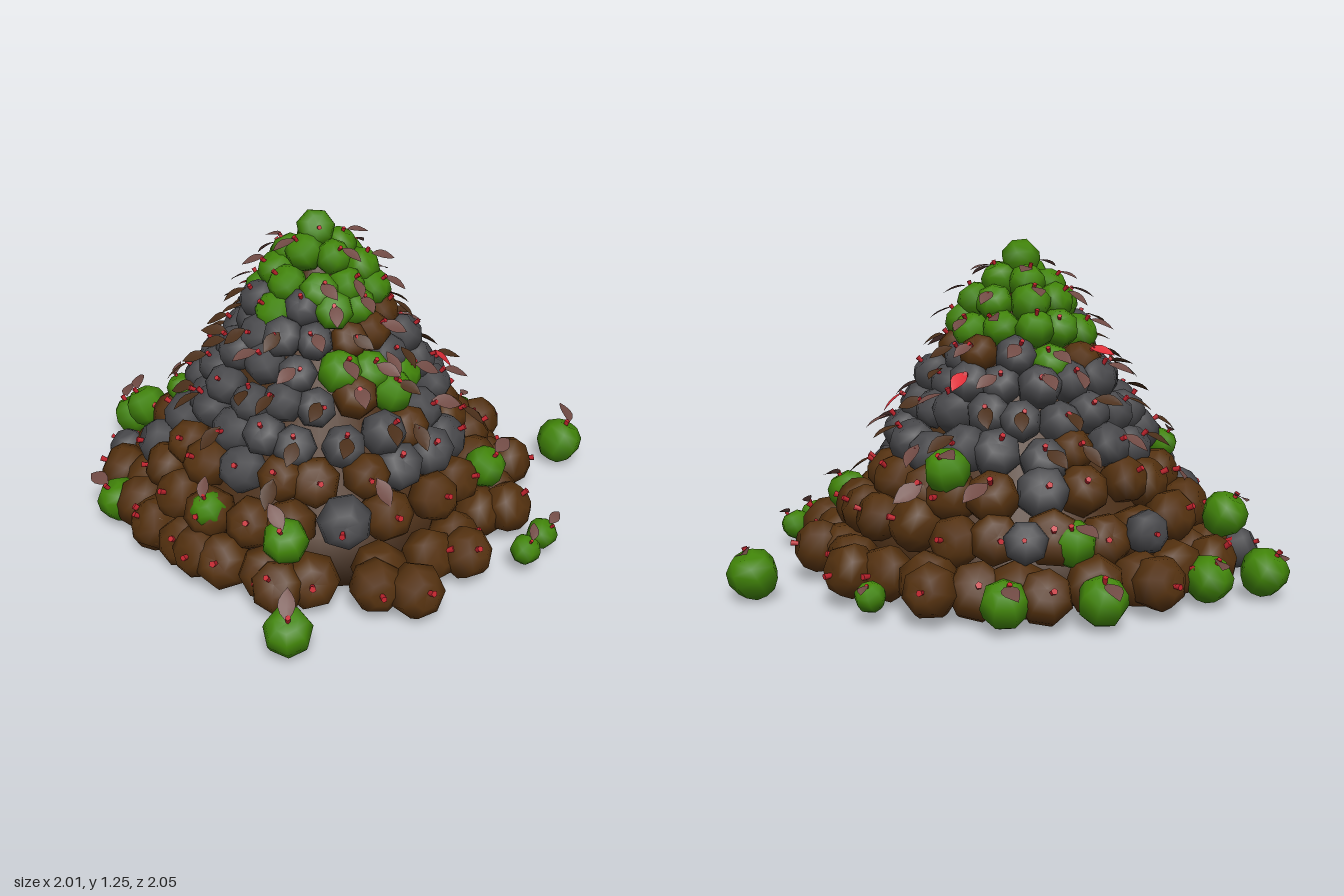
import * as THREE from 'three';

const mat = (color, side = THREE.FrontSide) => new THREE.MeshStandardMaterial({ color, side });
const skins = { brown: mat(0x54310f), grey: mat(0x48484b), green: mat(0x418409) };
const stemMat = mat(0xc4242e);
const leafMats = {
  mauve: mat(0x704a44, THREE.DoubleSide),
  dark: mat(0x4b2f1a, THREE.DoubleSide),
  red: mat(0xdc2c36, THREE.DoubleSide),
};

// Seeded random numbers
let seed = 7;
const rand = () => {
  seed = (seed * 16807) % 2147483647;
  return seed / 2147483647;
};
const jitter = (a) => (rand() - 0.5) * 2 * a;

// Fruit of unit radius: seven-sided and round, with a small dimple at the crown
const fruitGeo = new THREE.LatheGeometry(
  [[0, -0.9], [0.5, -0.86], [0.88, -0.46], [1, 0.06], [0.87, 0.54], [0.48, 0.86], [0, 0.8]]
    .map(([x, y]) => new THREE.Vector2(x, y)), 7);

// Short thick stem
const stemGeo = new THREE.CylinderGeometry(0.12, 0.09, 0.32, 5);
stemGeo.translate(0, 0.94, 0);

// Leaf: a strip narrowed at both ends, folded on its midrib, rising and gently arched
function makeLeafGeo() {
  const geo = new THREE.PlaneGeometry(1, 1, 2, 5);
  const p = geo.attributes.position;
  for (let i = 0; i < p.count; i++) {
    const t = p.getY(i) + 0.5;
    const side = p.getX(i) * 2;
    const width = 0.35 * Math.sin(Math.PI * Math.pow(t, 0.85));
    p.setXYZ(i, side * width, 0.95 + 0.6 * t - 0.25 * t * t + Math.abs(side) * width * 0.2, t * 1.25);
  }
  geo.computeVertexNormals();
  return geo;
}
const leafGeo = makeLeafGeo();

const UP = new THREE.Vector3(0, 1, 0);

// leafAngle is the heading the leaf points to, 0 = front
function makeFruit(pos, r, skin, axis, leaf, leafAngle) {
  const fruit = new THREE.Group();
  fruit.name = skin + 'Fruit';
  const add = (geo, material, name) => {
    const m = new THREE.Mesh(geo, material);
    m.name = name;
    fruit.add(m);
    return m;
  };
  add(fruitGeo, skins[skin], 'fruitBody').rotation.y = rand() * 6.28;
  add(stemGeo, stemMat, 'stem').rotation.set(jitter(0.25), 0, jitter(0.25));
  if (leaf) add(leafGeo, leafMats[leaf], 'leaf').rotation.y = leafAngle + jitter(0.7);
  fruit.position.set(...pos);
  fruit.quaternion.setFromUnitVectors(UP, axis.clone().normalize());
  fruit.scale.setScalar(r);
  return fruit;
}

const CX = -0.12, CZ = -0.09; // heap axis

// Layers: height, ring radius, fruit radius, count, upward tilt of the stems
const layers = [
  [0.115, 0.69, 0.106, 23, 0.35],
  [0.26, 0.60, 0.1, 21, 0.5],
  [0.39, 0.50, 0.095, 20, 0.7],
  [0.52, 0.425, 0.088, 19, 0.9],
  [0.63, 0.365, 0.083, 17, 1],
  [0.735, 0.305, 0.08, 15, 1],
  [0.835, 0.25, 0.077, 13, 1],
  [0.93, 0.2, 0.075, 11, 1.1],
  [1.02, 0.15, 0.073, 8, 1.2],
  [1.1, 0.085, 0.072, 5, 1.4],
  [1.18, 0, 0.074, 1, 3],
];

function skinFor(y, angle) {
  const k = rand();
  if (y < 0.33) return k < 0.96 ? 'brown' : 'grey';
  if (y < 0.46) return k < 0.65 ? 'brown' : 'grey';
  if (y < 0.88) {
    const brownSide = y > 0.6 && Math.cos(angle - 0.75) > 0.75; // brown patch front right
    if (brownSide && k < 0.7) return 'brown';
    return k < 0.87 ? 'grey' : k < 0.94 ? 'green' : 'brown';
  }
  return k < 0.9 || y > 1 ? 'green' : 'grey';
}

function leafFor(y, skin) {
  const k = rand();
  if (y < 0.33) return null;
  if (y > 0.6 && y < 0.85 && k > 0.93) return 'red';
  if (k > (y < 0.46 ? 0.4 : 0.88)) return null;
  return skin === 'green' || k < 0.3 ? 'mauve' : 'dark';
}

// Loose and outermost fruits: x, y, z, radius, skin
const strays = [
  [0.9, 0.095, -0.37, 0.094, 'green'], [-0.245, 0.1, 0.905, 0.09, 'green'],
  [0.72, 0.09, 0.32, 0.06, 'green'], [0.64, 0.1, 0.44, 0.058, 'green'],
  [0.51, 0.09, -0.69, 0.056, 'green'], [-0.9, 0.1, -0.66, 0.09, 'green'],
  [-0.68, 0.1, -0.71, 0.087, 'green'], [-0.25, 0.1, -0.9, 0.09, 'green'],
  [0.08, 0.1, -0.88, 0.087, 'green'], [-0.18, 0.26, -0.74, 0.087, 'green'],
  [-0.82, 0.26, -0.44, 0.087, 'green'], [-0.9, 0.1, 0.03, 0.088, 'green'],
  [-0.25, 0.26, 0.59, 0.087, 'green'], [-0.53, 0.28, 0.4, 0.07, 'green'],
  [0.52, 0.27, 0.12, 0.082, 'green'], [0.22, 0.48, -0.52, 0.085, 'green'],
  [-0.65, 0.48, -0.18, 0.06, 'green'], [0.15, 0.64, 0.18, 0.085, 'green'],
  [-0.9, 0.11, -0.36, 0.08, 'grey'], [-0.46, 0.27, -0.67, 0.08, 'grey'],
  [-0.01, 0.28, -0.78, 0.08, 'grey'],
  [-0.89, 0.13, -0.16, 0.1, 'brown'], [0.65, 0.13, -0.16, 0.1, 'brown'],
  [0.6, 0.13, 0.19, 0.1, 'brown'], [0.41, 0.12, 0.48, 0.1, 'brown'],
  [0.21, 0.11, 0.69, 0.105, 'brown'], [0.07, 0.12, 0.67, 0.1, 'brown'],
  [-0.28, 0.12, 0.67, 0.1, 'brown'], [-0.57, 0.12, 0.43, 0.1, 'brown'],
  [-0.74, 0.12, 0.24, 0.1, 'brown'], [0.56, 0.13, -0.5, 0.1, 'brown'],
  [0.31, 0.12, -0.75, 0.1, 'brown'], [-0.06, 0.11, -0.86, 0.1, 'brown'],
  [-0.47, 0.12, -0.79, 0.1, 'brown'], [-0.73, 0.12, -0.56, 0.1, 'brown'],
];

export function createModel() {
  const model = new THREE.Group();
  model.name = 'fruitHeap';

  // Solid core that closes the gaps and the underside
  const core = new THREE.Mesh(new THREE.LatheGeometry(
    [[0, 0.035], [0.65, 0.035], [0.58, 0.2], [0.4, 0.5], [0.2, 0.88], [0, 1.13]]
      .map(([x, y]) => new THREE.Vector2(x, y)), 32), mat(0x4a2e16));
  core.name = 'heapCore';
  core.position.set(CX, 0, CZ);
  model.add(core);

  // Stacked rings of fruit, alternate rings shifted by half a step
  layers.forEach(([y, R, r, n, lift], row) => {
    const ring = new THREE.Group();
    ring.name = 'fruitRing';
    for (let i = 0; i < n; i++) {
      const a = ((i + (row % 2) * 0.5) / n) * Math.PI * 2 + jitter(0.06);
      const d = R + (R ? jitter(0.022) : 0);
      const h = y + jitter(row === 0 || R === 0 ? 0.008 : 0.025);
      const skin = R ? skinFor(y, a) : 'green';
      const axis = new THREE.Vector3(Math.sin(a) + jitter(0.4), lift + jitter(0.3), Math.cos(a) + jitter(0.4));
      if (!R) axis.set(0.1, 0.6, 0.9);
      const pos = [CX + Math.sin(a) * d, h, CZ + Math.cos(a) * d];
      ring.add(makeFruit(pos, r * (1 + jitter(0.06)), skin, axis, R ? leafFor(y, skin) : null, a));
    }
    model.add(ring);
  });

  // Strays around the foot
  const loose = new THREE.Group();
  loose.name = 'looseFruit';
  for (const [x, y, z, r, skin] of strays) {
    const green = skin === 'green';
    const axis = new THREE.Vector3(x - CX, 0, z - CZ).normalize();
    if (green) axis.multiplyScalar(0.5);
    axis.y = green ? 0.9 : 0.5 + jitter(0.4);
    loose.add(makeFruit([x, y, z], r, skin, axis, green ? 'mauve' : null, Math.PI));
  }
  model.add(loose);
  return model;
}
